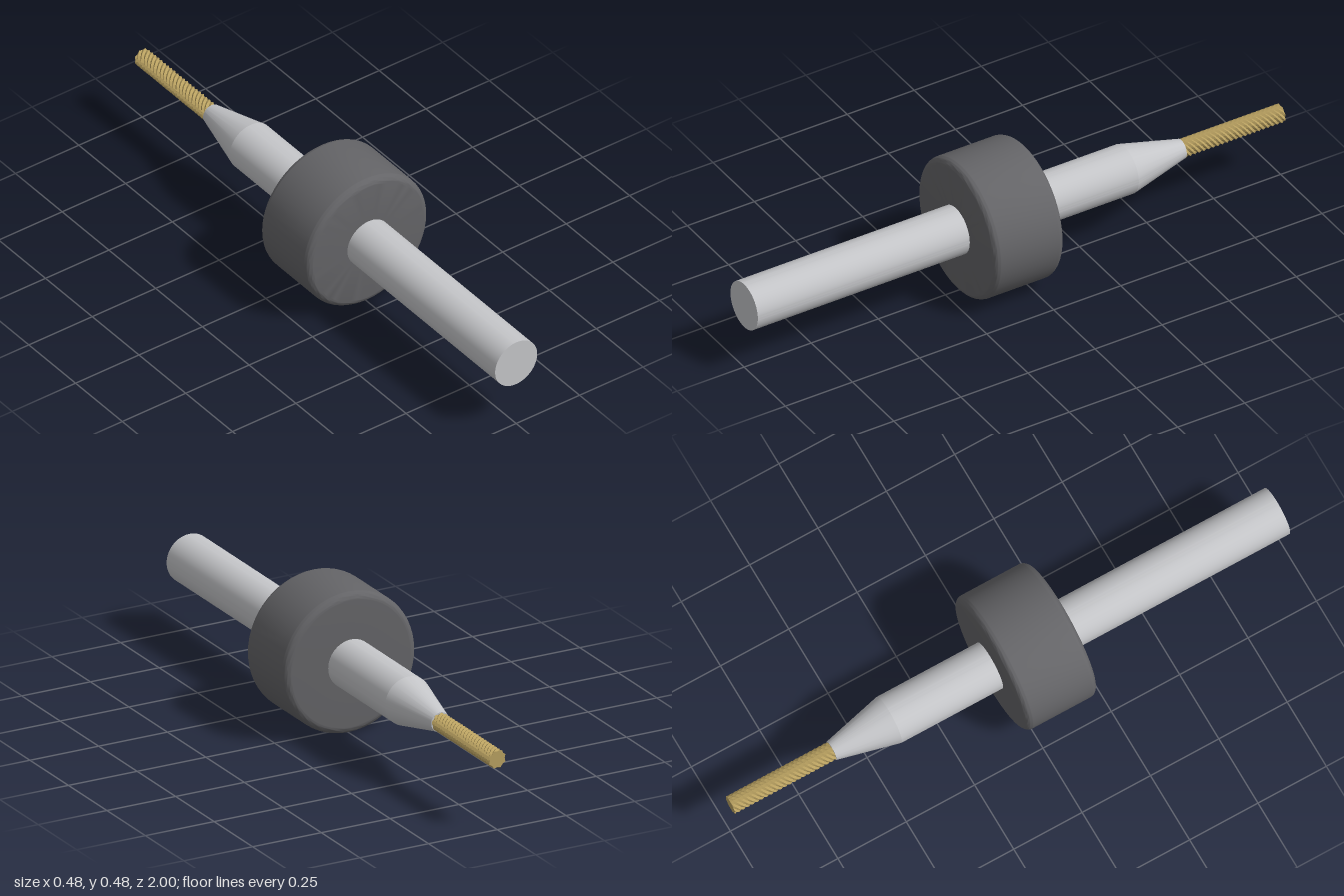
import * as THREE from 'three';
import { toCreasedNormals } from 'three/addons/utils/BufferGeometryUtils.js';

const AXIS_Y = 0.24;

// Solid of revolution along z; profile is [radius, z] from front to back
function turned(profile, crease) {
  const points = profile.map(([r, z]) => new THREE.Vector2(r, -z));
  const geo = new THREE.LatheGeometry(points, 56);
  geo.rotateX(-Math.PI / 2);
  return toCreasedNormals(geo, crease);
}

// Cross-cut cutting head: alternate high and low points form diamond teeth
function cutterGeometry(z0, z1) {
  const cols = 16, rows = 44, length = z0 - z1;
  const geo = new THREE.CylinderGeometry(1, 1, length, cols, rows);
  const pos = geo.attributes.position;
  for (let i = 0; i < pos.count; i++) {
    const x = pos.getX(i), y = pos.getY(i), z = pos.getZ(i);
    if (Math.hypot(x, z) < 0.5) continue;
    const a = Math.atan2(z, x);
    const col = Math.round(a / (2 * Math.PI) * cols) + cols;
    const row = Math.round((y / length + 0.5) * rows);
    const r = (col + row) % 2 ? 0.032 : 0.027;
    pos.setXYZ(i, x * r, y, z * r);
  }
  geo.rotateX(-Math.PI / 2);
  geo.translate(0, 0, (z0 + z1) / 2);
  const flat = geo.toNonIndexed();
  flat.computeVertexNormals();
  return flat;
}

export function createModel() {
  const steel = new THREE.MeshStandardMaterial({ color: 0xc4c5c8 });
  steel.name = 'steel';
  const darkPlastic = new THREE.MeshStandardMaterial({ color: 0x646467 });
  darkPlastic.name = 'dark plastic';
  const gold = new THREE.MeshStandardMaterial({ color: 0xb8a060 });
  gold.name = 'gold coating';

  const group = new THREE.Group();
  group.name = 'rotaryCutter';
  const add = (name, geo, material) => {
    const mesh = new THREE.Mesh(geo, material);
    mesh.name = name;
    mesh.position.y = AXIS_Y;
    group.add(mesh);
  };

  // Straight shank tapering to the neck
  add('shank', turned([[0, 1], [0.083, 1], [0.083, -0.42], [0.033, -0.63], [0, -0.63]], 0.18), steel);

  // Depth collar with rounded rims
  const R = 0.24, front = 0.21, back = -0.05, f = 0.025, steps = 12;
  const rim = [[0.08, front]];
  for (let i = 0; i <= steps; i++) {
    const a = (i / steps) * Math.PI / 2;
    rim.push([R - f + f * Math.sin(a), front - f + f * Math.cos(a)]);
  }
  for (let i = 0; i <= steps; i++) {
    const a = (i / steps) * Math.PI / 2;
    rim.push([R - f + f * Math.cos(a), back + f - f * Math.sin(a)]);
  }
  rim.push([0.08, back]);
  add('collar', turned(rim, 0.6), darkPlastic);

  // Toothed cutting head
  add('cuttingHead', cutterGeometry(-0.625, -1), gold);

  return group;
}
